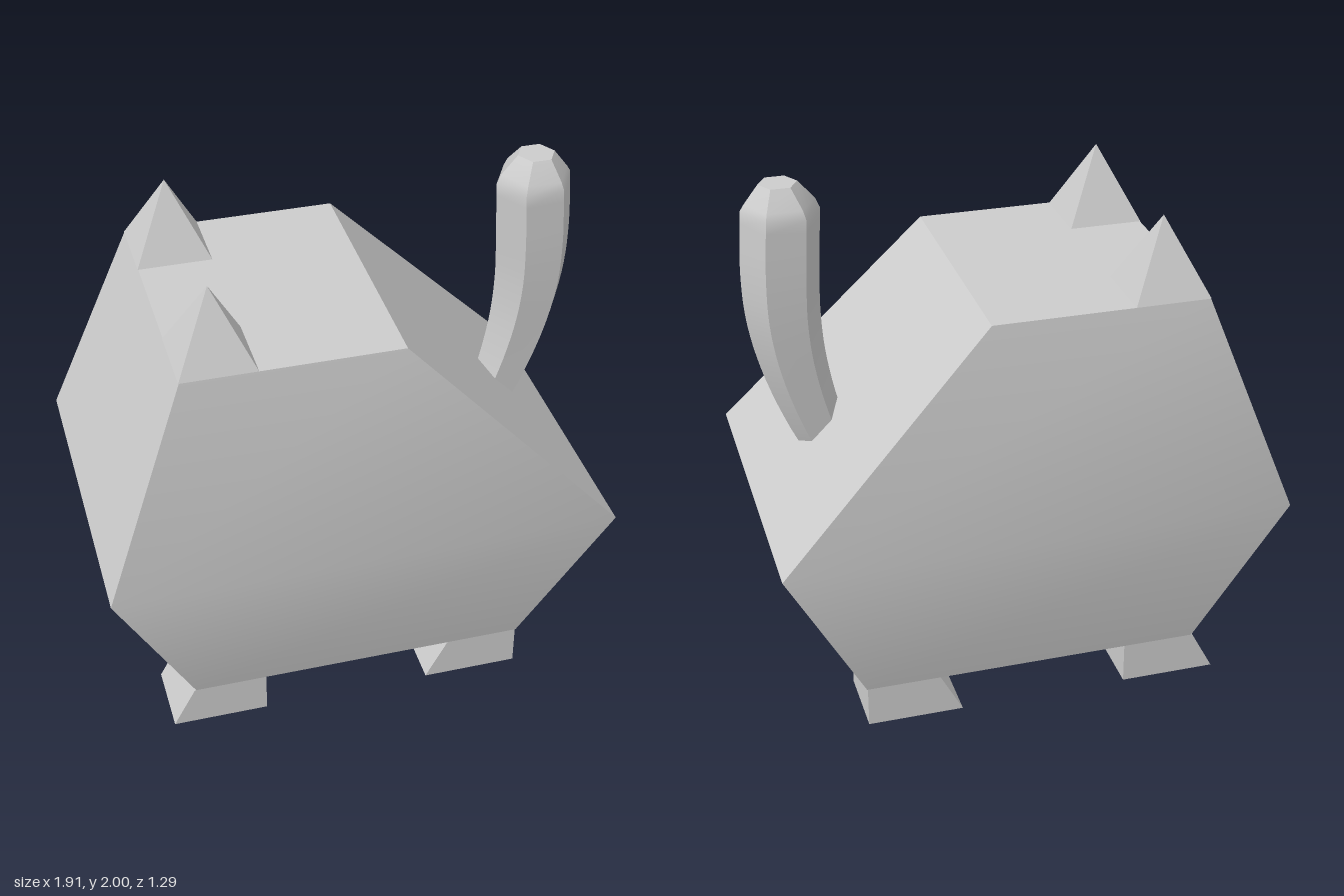
import * as THREE from 'three';
import { toCreasedNormals } from 'three/addons/utils/BufferGeometryUtils.js';

// Skin a stack of equal-length rings, counter-clockwise seen from above, listed bottom to top
function loft(rings) {
  const n = rings[0].length, index = [];
  for (let i = 0; i < rings.length - 1; i++) {
    for (let j = 0; j < n; j++) {
      const a = i * n + j, b = i * n + (j + 1) % n;
      index.push(a, b, b + n, a, b + n, a + n);
    }
  }
  const top = (rings.length - 1) * n;
  for (let j = 1; j < n - 1; j++) {
    index.push(0, j + 1, j, top, top + j, top + j + 1);
  }
  const geometry = new THREE.BufferGeometry();
  geometry.setAttribute('position', new THREE.Float32BufferAttribute(rings.flat(2), 3));
  geometry.setIndex(index);
  return toCreasedNormals(geometry, 0.5);
}

// Horizontal rectangle as a ring
const rect = (y, x0, x1, z0, z1) => [[x0, y, z1], [x1, y, z1], [x1, y, z0], [x0, y, z0]];

export function createModel() {
  const model = new THREE.Group();
  const material = new THREE.MeshStandardMaterial({ color: 0xcccccc });
  const add = (name, geometry) => {
    const mesh = new THREE.Mesh(geometry, material);
    mesh.name = name;
    model.add(mesh);
    return mesh;
  };

  // Faceted body, head end towards -x
  add('body', loft([
    rect(0.16, -0.645, 0.645, -0.51, 0.51),
    rect(0.775, -0.955, 0.955, -0.643, 0.643),
    rect(1.6, -0.645, 0.16, -0.51, 0.51),
  ]));

  // Feet with slanted toes, and pyramid ears, on both sides
  for (const [side, z] of [['Left', 0.37], ['Right', -0.37]]) {
    for (const [name, heel] of [['front', -0.37], ['back', 0.642]]) {
      add(`${name}Foot${side}`, loft([
        rect(0, heel - 0.365, heel, z - 0.14, z + 0.14),
        rect(0.16, heel - 0.28, heel, z - 0.14, z + 0.14),
      ]));
    }
    const cone = new THREE.ConeGeometry(0.14 * Math.SQRT2, 0.28, 4, 1, true).rotateY(Math.PI / 4);
    add(`ear${side}`, toCreasedNormals(cone, 0.5)).position.set(-0.507, 1.74, z);
  }

  // Six-sided tail: x, y along the path, with the radius carried in z
  const path = new THREE.CatmullRomCurve3([
    [0.61, 0.86, 0.085], [0.695, 1.05, 0.1], [0.767, 1.3, 0.121],
    [0.796, 1.5, 0.136], [0.798, 1.68, 0.143], [0.786, 1.9, 0.142],
  ].map((p) => new THREE.Vector3(...p)));
  const hexagon = (x, y, r, angle) => Array.from({ length: 6 }, (_, j) => {
    const a = j * Math.PI / 3, u = r * Math.cos(a);
    return [x + u * Math.cos(angle), y + u * Math.sin(angle), -r * Math.sin(a)];
  });
  const rings = path.getPoints(24).map((p, i) => {
    const t = path.getTangent(i / 24);
    return hexagon(p.x, p.y, p.z, -Math.atan2(t.x, t.y));
  });
  // Bevelled tip
  rings.push(hexagon(0.787, 1.93, 0.127, 0), hexagon(0.79, 2, 0.07, 0));
  add('tail', loft(rings));

  return model;
}
